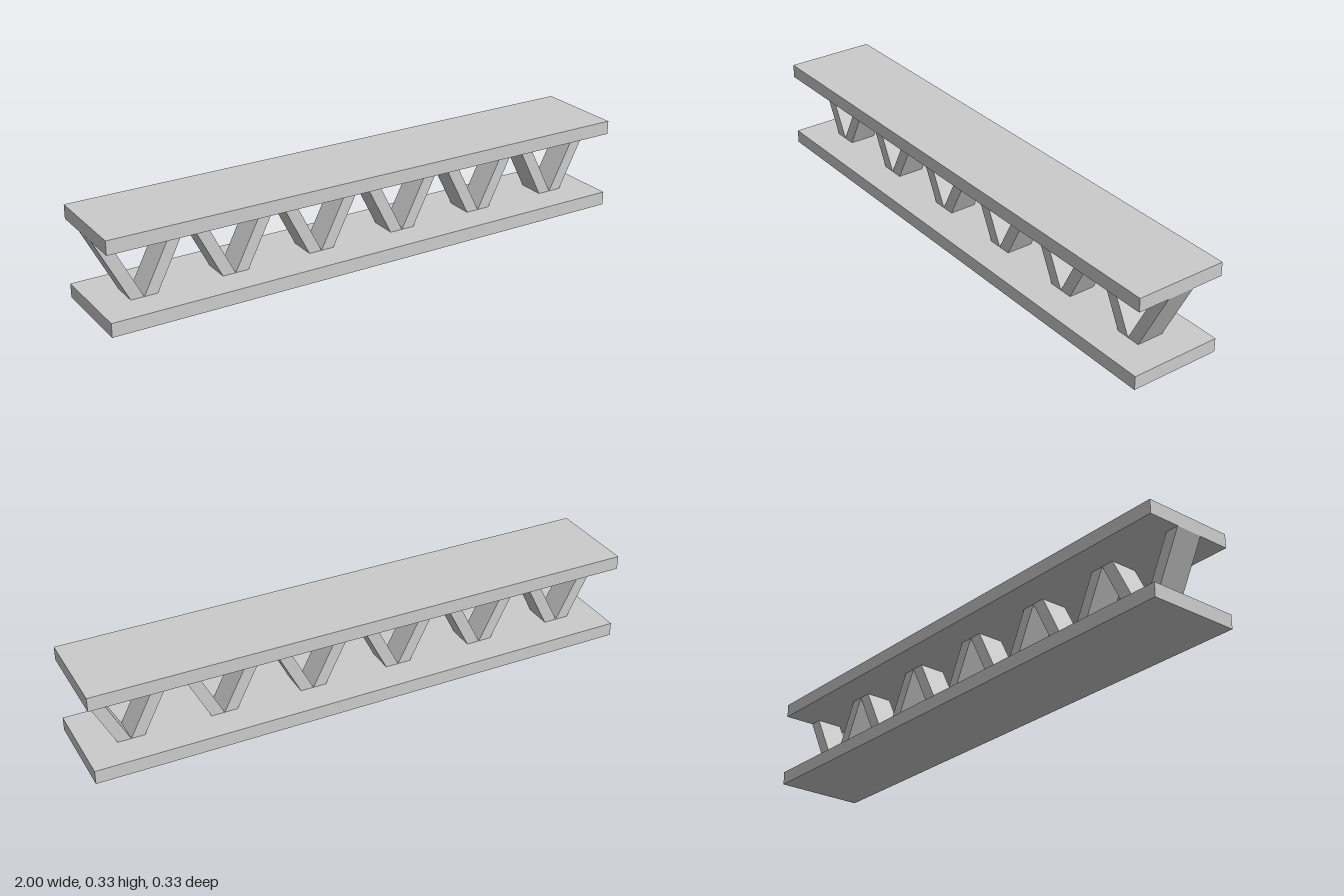
import * as THREE from 'three';

const LENGTH = 2, DEPTH = 1 / 3, HEIGHT = 1 / 3, PLATE = 0.05;
const WEB_DEPTH = 0.1, BRACE_WIDTH = 0.048, BRACES = 12;

export function createModel() {
  const group = new THREE.Group();
  const material = new THREE.MeshStandardMaterial({ color: 0xcccccc, flatShading: true });

  const add = (name, geometry, x, y, z) => {
    const mesh = new THREE.Mesh(geometry, material);
    mesh.name = name;
    mesh.position.set(x, y, z);
    group.add(mesh);
  };

  // Flat top and bottom plates
  const plate = new THREE.BoxGeometry(LENGTH, PLATE, DEPTH);
  add('bottomPlate', plate, 0, PLATE / 2, 0);
  add('topPlate', plate, 0, HEIGHT - PLATE / 2, 0);

  // Slanted brace: a parallelogram filling one cell, leaning left or right
  const cell = LENGTH / BRACES;
  const rise = HEIGHT - 2 * PLATE;
  const makeBrace = (side) => {
    const h = cell / 2;
    const shape = new THREE.Shape([
      new THREE.Vector2(side * h, 0),
      new THREE.Vector2(side * (BRACE_WIDTH - h), rise),
      new THREE.Vector2(-side * h, rise),
      new THREE.Vector2(side * (h - BRACE_WIDTH), 0),
    ]);
    return new THREE.ExtrudeGeometry(shape, { depth: WEB_DEPTH, bevelEnabled: false });
  };
  const falling = makeBrace(1), rising = makeBrace(-1);

  // Zigzag web along the beam
  for (let i = 0; i < BRACES; i++) {
    const x = -LENGTH / 2 + cell * (i + 0.5);
    add(`brace${i + 1}`, i % 2 ? rising : falling, x, PLATE, -WEB_DEPTH / 2);
  }
  return group;
}
